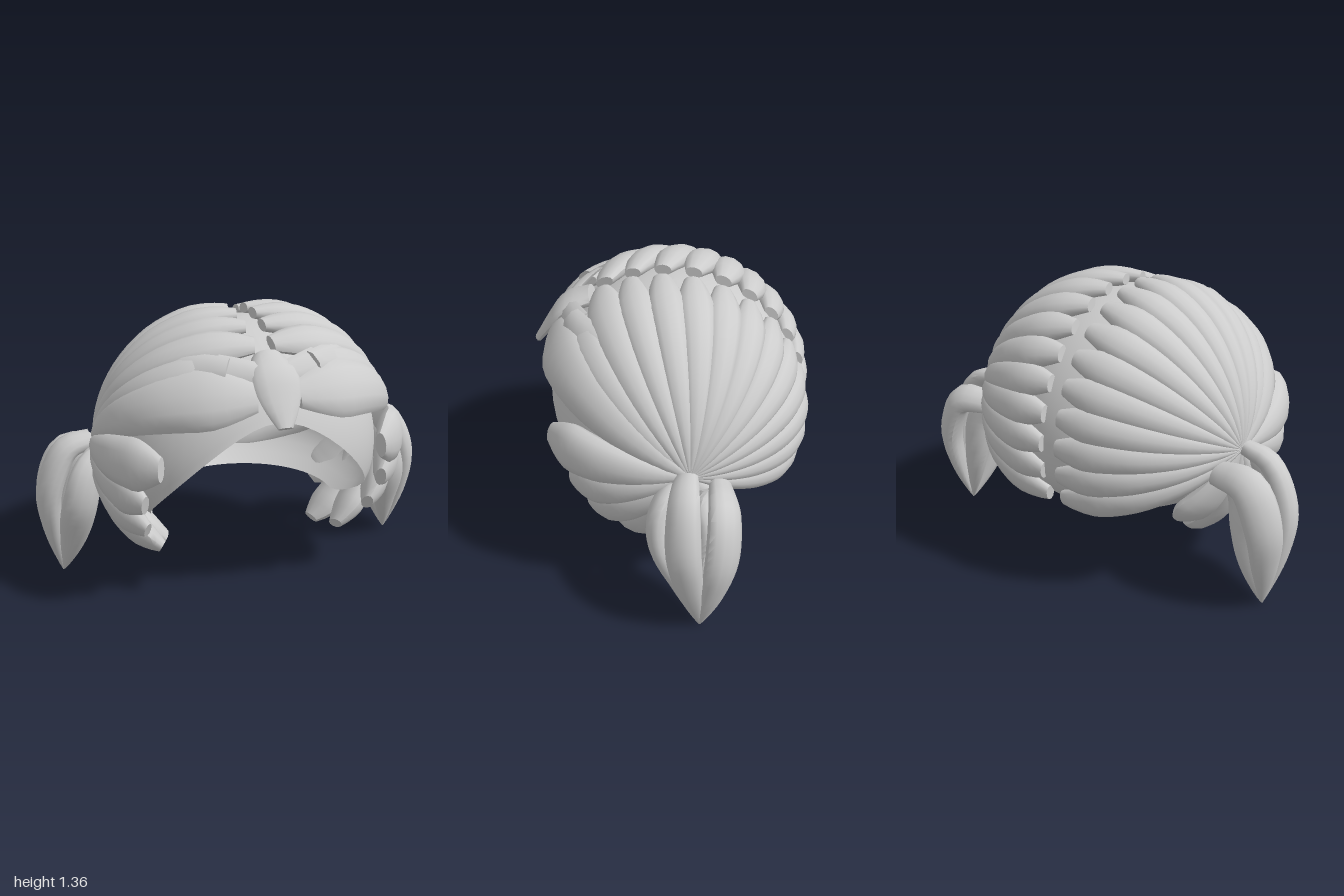
import * as THREE from 'three';
import { toCreasedNormals } from 'three/addons/utils/BufferGeometryUtils.js';

const V = (x, y, z) => new THREE.Vector3(x, y, z);
const CENTER = V(0, 0.7, 0);
const RADII = V(0.7, 0.635, 0.635);
const ROOT = V(0.69, 0.73, -0.13);

// Sweep an oval section along a path; out(p) gives the outward direction
function lock(path, half, thick, out, steps = 18, sides = 12) {
  const pos = [], idx = [];
  for (let i = 0; i <= steps; i++) {
    const t = i / steps, p = path(t);
    const T = path(Math.min(1, t + 0.01)).sub(path(Math.max(0, t - 0.01))).normalize();
    const S = T.clone().cross(out(p)).normalize();
    const N = S.clone().cross(T);
    for (let j = 0; j < sides; j++) {
      const a = (j / sides) * Math.PI * 2;
      const q = p.clone().addScaledVector(S, Math.cos(a) * half(t)).addScaledVector(N, Math.sin(a) * thick(t));
      pos.push(q.x, q.y, q.z);
    }
  }
  for (let i = 0; i < steps; i++) {
    for (let j = 0; j < sides; j++) {
      const k = (j + 1) % sides, a = i * sides, b = a + sides;
      idx.push(a + j, b + j, a + k, a + k, b + j, b + k);
    }
  }
  // Close both ends
  const end = steps * sides;
  for (let j = 1; j < sides - 1; j++) idx.push(0, j, j + 1, end, end + j + 1, end + j);
  const geo = new THREE.BufferGeometry();
  geo.setAttribute('position', new THREE.Float32BufferAttribute(pos, 3));
  geo.setIndex(idx);
  return toCreasedNormals(geo, 0.8);
}

const outHead = (p) => p.clone().sub(CENTER).divide(RADII).divide(RADII).normalize();

// Path over the head from one point to another
function headPath(from, to) {
  const a = from.clone().sub(CENTER).divide(RADII), b = to.clone().sub(CENTER).divide(RADII);
  const la = a.length(), lb = b.length(), ang = a.angleTo(b);
  a.normalize();
  b.normalize();
  return (t) => a.clone().multiplyScalar(Math.sin((1 - t) * ang) / Math.sin(ang))
    .addScaledVector(b, Math.sin(t * ang) / Math.sin(ang))
    .multiplyScalar(la + (lb - la) * t).multiply(RADII).add(CENTER);
}

// Lock that widens from the tie and ends in a blunt tip
function headLock(from, to, w, h) {
  const blunt = (t) => (t > 0.8 ? 1 - 0.55 * ((t - 0.8) / 0.2) ** 1.4 : 1);
  return lock(headPath(from, to),
    (t) => w * Math.sin(0.14 + t * 1.43) * blunt(t),
    (t) => h * (0.45 + 0.55 * Math.min(1, t * 1.6)) * blunt(t), outHead);
}

// Scalp shell with an arched hairline in front and a rim that curls in below
function scalpGeometry() {
  const geo = new THREE.PlaneGeometry(1, 1, 64, 24);
  const p = geo.attributes.position, uv = geo.attributes.uv;
  for (let i = 0; i < p.count; i++) {
    const az = uv.getX(i) * Math.PI * 2, c = Math.max(0, Math.cos(az));
    const low = 0.39 + 0.58 * c ** 2.4;
    const pol = (1 - uv.getY(i)) * Math.acos((low - 0.7) / 0.62);
    const y = 0.7 + 0.62 * Math.cos(pol);
    const r = Math.sin(pol) * (1 - 0.18 * (Math.max(0, 0.58 - y) / 0.19) ** 2);
    p.setXYZ(i, 0.66 * r * Math.sin(az), y, 0.62 * r * Math.cos(az));
  }
  geo.computeVertexNormals();
  return geo;
}

export function createModel() {
  const hair = new THREE.MeshStandardMaterial({ color: 0xcccccc, side: THREE.DoubleSide });
  hair.name = 'hair grey';
  const model = new THREE.Group();
  model.name = 'hair';
  const add = (parent, name, geo) => {
    const m = new THREE.Mesh(geo, hair);
    m.name = name;
    parent.add(m);
  };

  add(model, 'scalp', scalpGeometry());

  for (const s of [1, -1]) {
    const side = new THREE.Group();
    side.name = s > 0 ? 'leftSide' : 'rightSide';
    model.add(side);
    const M = (x, y, z) => V(s * x, y, z);
    const root = M(ROOT.x, ROOT.y, ROOT.z);

    // Fan of locks combed from the centre parting to the tie
    for (let i = 0; i < 12; i++) {
      const a = THREE.MathUtils.degToRad(60 + i * 12.8);
      const r = 0.652 - 0.003 * i;
      add(side, 'fanLock', headLock(root, M(0.04, 0.7 + r * Math.sin(a), r * Math.cos(a)), i ? 0.091 : 0.105, 0.058));
    }

    // Swept fringe and the lock tucked behind it
    add(side, 'fringe', headLock(root, M(0.09, 1.09, 0.535), 0.155, 0.065));
    add(side, 'fringeUnder', headLock(root, M(0.17, 1.19, 0.42), 0.1, 0.05));

    // Locks hanging beside the face: tip x, y, z, half width, thickness
    const faceLocks = [
      [0.52, 0.79, 0.505, 0.13, 0.06],
      [0.575, 0.585, 0.405, 0.11, 0.06],
      [0.55, 0.42, 0.32, 0.11, 0.062],
      [0.45, 0.25, 0.165, 0.12, 0.065],
      [0.39, 0.21, -0.02, 0.12, 0.062],
      [0.46, 0.35, -0.24, 0.125, 0.055],
    ];
    for (const [x, y, z, w, h] of faceLocks) add(side, 'faceLock', headLock(root, M(x, y, z), w, h));

    // Short flat pieces at the top of the fringe
    const flat = (from, to, w) => add(side, 'fringePiece',
      lock(headPath(from, to), (t) => w * (1 - 0.25 * t), () => 0.02, outHead, 4, 6));
    flat(M(0.39, 1.19, 0.3), M(0.2, 1.21, 0.45), 0.07);
    flat(M(0.24, 1.205, 0.41), M(0.05, 1.18, 0.49), 0.065);

    // Pigtail: four locks meeting in one point
    const pigtail = new THREE.Group();
    pigtail.name = 'pigtail';
    side.add(pigtail);
    const tails = [
      [[0.725, 0.74, -0.12], [0.845, 0.7, -0.12], [0.94, 0.5, -0.125], [0.94, 0.3, -0.15], 0.085],
      [[0.66, 0.66, -0.27], [0.83, 0.65, -0.295], [0.92, 0.46, -0.295], [0.92, 0.25, -0.26], 0.09],
      [[0.7, 0.68, -0.06], [0.765, 0.61, -0.015], [0.81, 0.45, -0.01], [0.845, 0.23, -0.1], 0.085],
      [[0.7, 0.66, -0.2], [0.765, 0.56, -0.21], [0.8, 0.42, -0.22], [0.84, 0.22, -0.22], 0.085],
    ];
    for (const t of tails) {
      const w = t[4];
      const pts = t.slice(0, 4).map((p) => M(...p));
      pts.push(M(0.89, 0.015, -0.2));
      const curve = new THREE.CatmullRomCurve3(pts);
      const swell = (k) => 0.06 + 0.94 * Math.sin(Math.PI * (0.2 + 0.8 * k)) ** 0.85;
      const out = (p) => V(p.x - s * 0.8, (p.y - 0.4) * 0.5, p.z + 0.18).normalize();
      add(pigtail, 'pigtailLock', lock((k) => curve.getPointAt(k), (k) => w * swell(k), (k) => 0.058 * swell(k), out, 20));
    }
  }

  // Small tuft in the middle of the forehead
  const tuft = new THREE.CatmullRomCurve3([V(0, 1.22, 0.38), V(0, 1.175, 0.5), V(0, 1.085, 0.575), V(0, 0.975, 0.65)]);
  add(model, 'centreTuft', lock((t) => tuft.getPointAt(t),
    (t) => 0.07 + 0.045 * Math.sin(Math.PI * t) - 0.035 * t * t, (t) => 0.045 - 0.027 * t, outHead, 10));

  return model;
}
